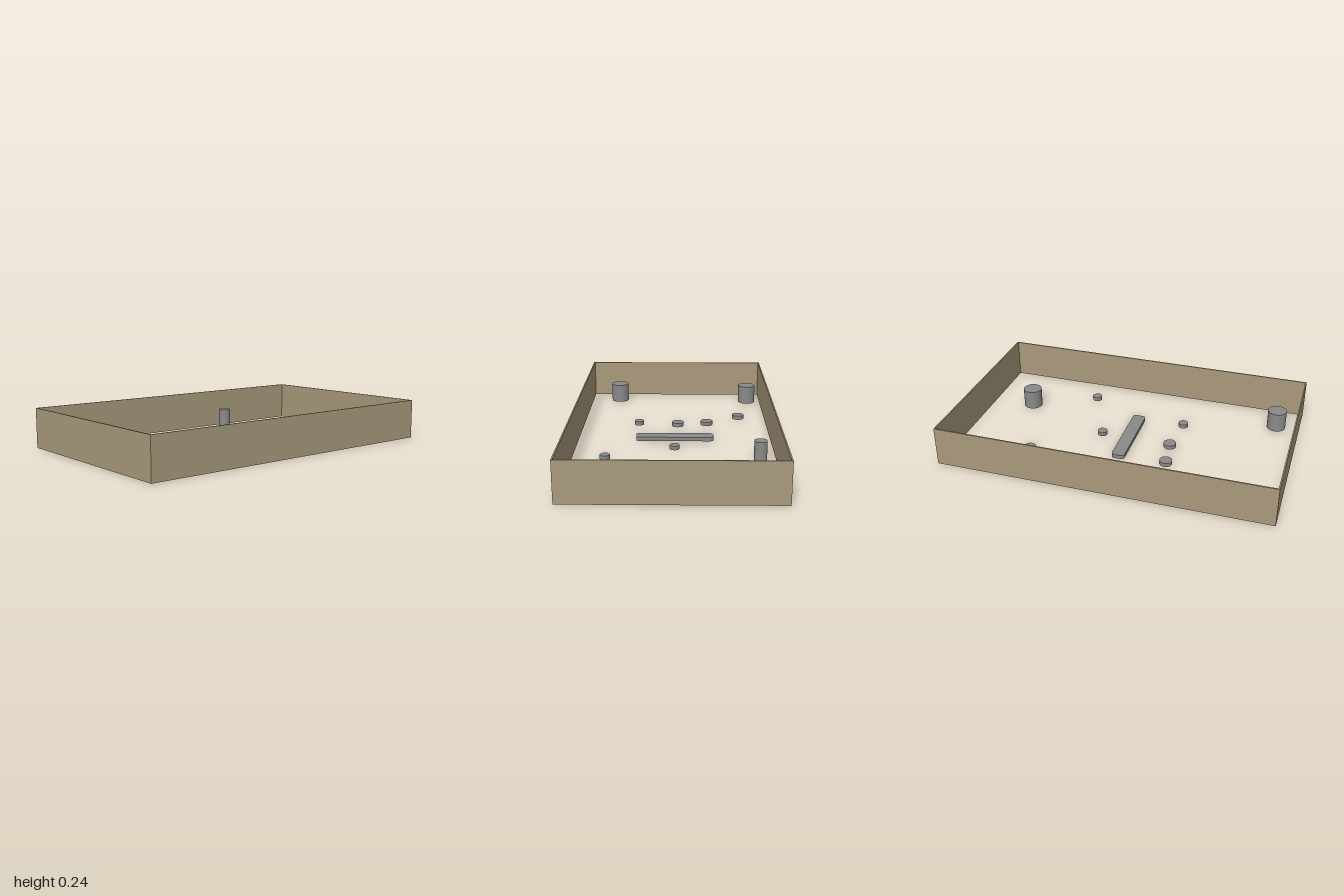
import * as THREE from 'three';

const tan = new THREE.MeshStandardMaterial({ color: 0xa99a7c });
tan.name = 'tan wall';
const grey = new THREE.MeshStandardMaterial({ color: 0x8a8a8a });
grey.name = 'grey metal';

function add(parent, name, geometry, material, x, y, z) {
  const mesh = new THREE.Mesh(geometry, material);
  mesh.name = name;
  mesh.position.set(x, y, z);
  parent.add(mesh);
  return mesh;
}

export function createModel() {
  const model = new THREE.Group();
  model.name = 'walledCourt';

  // Thin perimeter walls, open at top and bottom
  const W = 1, D = 0.6, H = 0.24, T = 0.008;
  for (const s of [1, -1]) {
    add(model, s > 0 ? 'frontWall' : 'backWall',
      new THREE.BoxGeometry(2 * W, H, T), tan, 0, H / 2, s * (D - T / 2));
    add(model, s > 0 ? 'leftWall' : 'rightWall',
      new THREE.BoxGeometry(T, H, 2 * (D - T)), tan, s * (W - T / 2), H / 2, 0);
  }

  // Round posts and discs standing on the ground: name, x, z, radius, height
  const posts = [
    ['largePost', -0.82, -0.5, 0.058, 0.12],
    ['largePost', -0.855, 0.4, 0.058, 0.12],
    ['largePost', 0.73, 0.21, 0.058, 0.12],
    ['slimPost', 0.36, -0.5, 0.038, 0.12],
    ['disc', 0.537, -0.305, 0.038, 0.025],
    ['disc', -0.427, -0.417, 0.038, 0.025],
    ['disc', -0.29, -0.205, 0.038, 0.025],
    ['disc', -0.266, -0.018, 0.038, 0.025],
    ['smallDisc', -0.29, 0.234, 0.03, 0.025],
    ['smallDisc', 0.173, -0.003, 0.03, 0.025],
    ['smallDisc', 0.345, 0.4, 0.03, 0.025],
  ];
  for (const [name, x, z, r, h] of posts) {
    add(model, name, new THREE.CylinderGeometry(r, r, h, 32), grey, x, h / 2, z);
  }

  // Flat central bar with rounded corners
  const a = 0.04, b = 0.238, r = 0.02;
  const outline = new THREE.Shape();
  outline.absarc(a - r, b - r, r, 0, Math.PI / 2);
  outline.absarc(-a + r, b - r, r, Math.PI / 2, Math.PI);
  outline.absarc(-a + r, -b + r, r, Math.PI, Math.PI * 1.5);
  outline.absarc(a - r, -b + r, r, Math.PI * 1.5, Math.PI * 2);
  const bar = new THREE.ExtrudeGeometry(outline, { depth: 0.025, bevelEnabled: false, curveSegments: 6 });
  bar.rotateX(-Math.PI / 2);
  add(model, 'centreBar', bar, grey, 0, 0, -0.002);

  return model;
}
